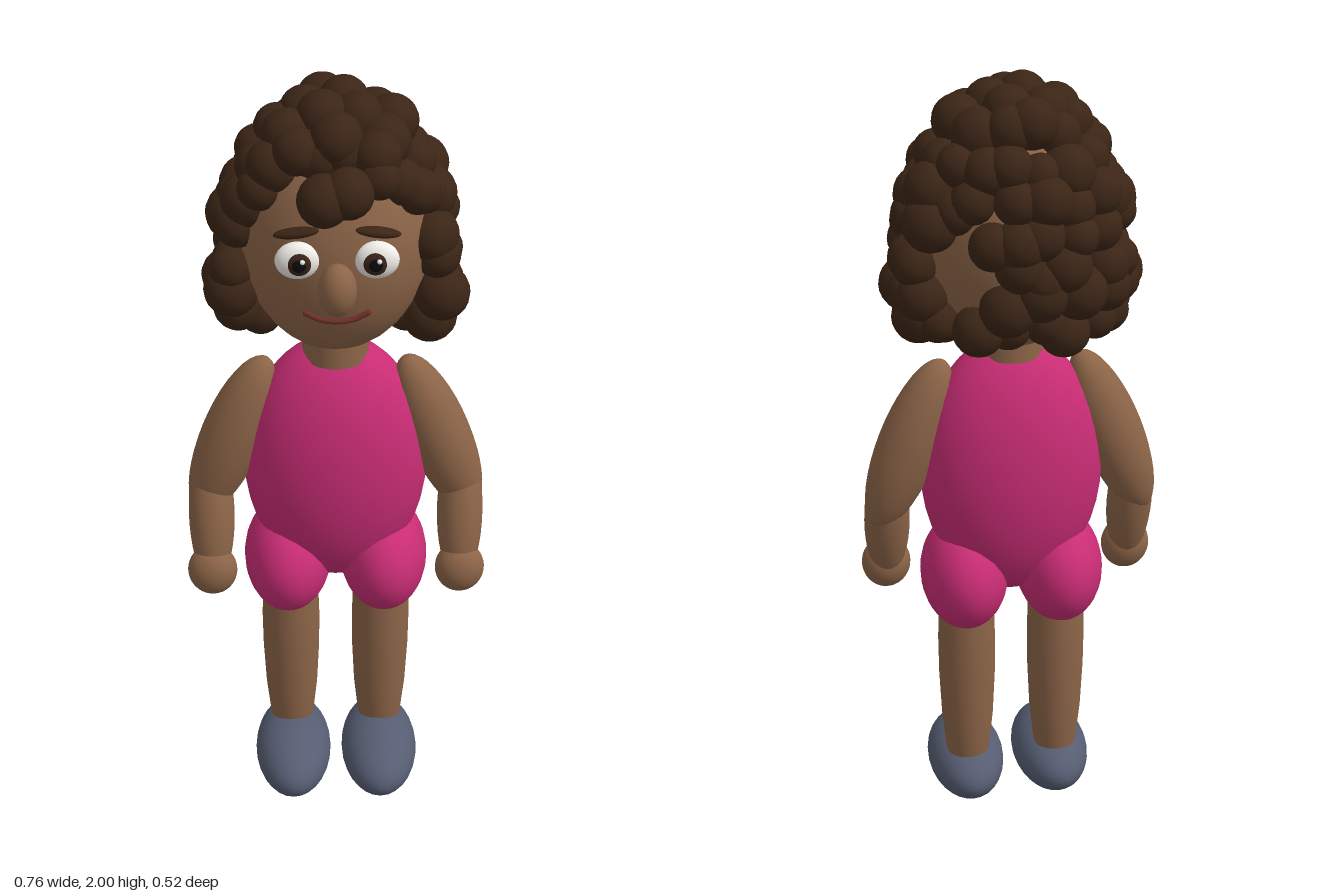
import * as THREE from 'three';

const mat = (color) => new THREE.MeshStandardMaterial({ color });
const MAT = {
  skin: mat(0x8d6548), hair: mat(0x3b2516), suit: mat(0xc92d75), shoe: mat(0x565d72),
  white: mat(0xf0eeea), iris: mat(0x3a2418), pupil: mat(0x0c0a0a), lip: mat(0x6e2e28),
};
const ball = new THREE.SphereGeometry(1, 28, 20);
const curlBall = new THREE.SphereGeometry(1, 18, 12);
const HEAD = { y: 1.628, rx: 0.226, ry: 0.297, rz: 0.202 };

// depth of the face surface at a given x, y
const faceZ = (x, y) =>
  HEAD.rz * Math.sqrt(Math.max(0, 1 - (x / HEAD.rx) ** 2 - ((y - HEAD.y) / HEAD.ry) ** 2));

export function createModel() {
  const model = new THREE.Group();
  model.name = 'curlyHairedFigure';

  const add = (name, geometry, material, parent = model) => {
    const m = new THREE.Mesh(geometry, material);
    m.name = name;
    parent.add(m);
    return m;
  };
  const blob = (name, material, pos, radii, parent = model, geometry = ball) => {
    const m = add(name, geometry, material, parent);
    m.position.set(...pos);
    m.scale.set(...radii);
    return m;
  };
  // ellipsoid stretched between two end points
  const limb = (name, material, a, b, rx, rz) => {
    const p = new THREE.Vector3(...a), q = new THREE.Vector3(...b);
    const d = p.clone().sub(q);
    const m = blob(name, material, p.clone().add(q).multiplyScalar(0.5).toArray(), [rx, d.length() / 2, rz]);
    m.quaternion.setFromUnitVectors(new THREE.Vector3(0, 1, 0), d.normalize());
  };

  // body
  blob('torso', MAT.suit, [0, 0.998, 0.008], [0.231, 0.35, 0.152]);
  add('neck', new THREE.CylinderGeometry(0.078, 0.082, 0.14, 24), MAT.skin).position.set(0, 1.375, 0.01);

  const legProfile = [[0.045, 0.1], [0.058, 0.17], [0.068, 0.27], [0.074, 0.4], [0.075, 0.5], [0.071, 0.64]]
    .map(([x, y]) => new THREE.Vector2(x, y));
  const legGeometry = new THREE.LatheGeometry(legProfile, 24);

  for (const [side, s] of [['left', 1], ['right', -1]]) {
    // legs
    blob(side + 'ShortsLeg', MAT.suit, [s * 0.123, 0.7, 0.008], [0.112, 0.148, 0.159]);
    add(side + 'Leg', legGeometry, MAT.skin).position.set(s * 0.118, 0, 0.01);
    blob(side + 'Shoe', MAT.shoe, [s * 0.116, 0.092, 0.075], [0.101, 0.088, 0.181]);

    // arms
    limb(side + 'UpperArm', MAT.skin, [s * 0.17, 1.293, 0.01], [s * 0.345, 0.84, 0.015], 0.079, 0.073);
    limb(side + 'Forearm', MAT.skin, [s * 0.315, 1.04, -0.005], [s * 0.315, 0.66, 0.085], 0.058, 0.056);
    blob(side + 'Hand', MAT.skin, [s * 0.316, 0.704, 0.083], [0.063, 0.07, 0.05]);

    // eyes and brows
    blob(side + 'Eye', MAT.white, [s * 0.09, 1.657, 0.188], [0.052, 0.046, 0.028]);
    blob(side + 'Iris', MAT.iris, [s * 0.087, 1.657, 0.205], [0.03, 0.03, 0.015]);
    blob(side + 'Pupil', MAT.pupil, [s * 0.087, 1.657, 0.213], [0.018, 0.018, 0.01]);
    blob(side + 'EyeGlint', MAT.white, [s * 0.087 + 0.008, 1.668, 0.219], [0.006, 0.006, 0.005]);
    blob(side + 'Brow', MAT.hair, [s * 0.093, 1.727, 0.188], [0.054, 0.012, 0.018])
      .rotation.set(0, s * 0.2, -s * 0.2);
  }

  // head
  blob('head', MAT.skin, [0, HEAD.y, 0], [HEAD.rx, HEAD.ry, HEAD.rz]);
  blob('nose', MAT.skin, [0, 1.592, 0.212], [0.045, 0.065, 0.045]);
  const lipLine = new THREE.CatmullRomCurve3(
    [[-0.072, 1.515], [-0.04, 1.5], [0, 1.495], [0.04, 1.5], [0.072, 1.515]]
      .map(([x, y]) => new THREE.Vector3(x, y, faceZ(x, y) + 0.006)));
  add('mouth', new THREE.TubeGeometry(lipLine, 16, 0.007, 8), MAT.lip);
  for (const end of [0, 1]) {
    blob('mouthCorner', MAT.lip, lipLine.getPoint(end).toArray(), [0.007, 0.007, 0.007], model, curlBall);
  }

  // hair: rings of curls around the head, open at the face
  const hair = new THREE.Group();
  hair.name = 'hair';
  model.add(hair);
  let seed = 7;
  const rnd = () => (seed = (seed * 16807) % 2147483647) / 2147483647;
  const curl = (x, y, z, r) => blob('curl', MAT.hair, [x, y, z], [r, r, r], hair, curlBall);

  // [y, rx, rz, first angle from front, last angle, curls per side]
  const rings = [
    [1.895, 0.13, 0.11, 14, 168, 5],
    [1.825, 0.182, 0.155, 48, 172, 6],
    [1.745, 0.215, 0.178, 68, 172, 6],
    [1.665, 0.24, 0.19, 72, 172, 6],
    [1.585, 0.252, 0.19, 70, 172, 6],
    [1.505, 0.254, 0.175, 70, 172, 6],
    [1.42, 0.237, 0.14, 82, 150, 4],
  ];
  rings.forEach(([y, rx, rz, from, to, n], row) => {
    for (const s of [1, -1]) {
      for (let i = 0; i < n; i++) {
        const step = (to - from) / (n - 1);
        const shift = row % 2 && i > 0 && i < n - 1 ? step * 0.25 * s : 0;
        const deg = from + step * i + shift + (rnd() - 0.5) * 12;
        const a = THREE.MathUtils.degToRad(deg);
        const out = 0.96 + rnd() * 0.07;
        const x = s * rx * out * Math.sin(a), z = rz * out * Math.cos(a) - 0.01;
        const cy = y + (rnd() - 0.5) * 0.05, r = 0.05 + rnd() * 0.02;
        // bare parting at the back left
        if (s > 0 && y > 1.49 && y < 1.7 && deg > 132 && deg < 160) continue;
        curl(x, cy, z, r);
      }
    }
  });
  // crown, fringe, temples, inner side locks and nape
  [[-0.03, 1.938, 0.03, 0.062], [0.05, 1.93, 0.02, 0.06], [0.02, 1.935, -0.06, 0.06], [-0.07, 1.92, -0.04, 0.06],
    [0, 1.915, 0.1, 0.062], [-0.09, 1.89, 0.11, 0.055], [0.09, 1.88, 0.115, 0.058],
    [-0.03, 1.805, 0.185, 0.062], [0.025, 1.82, 0.18, 0.06], [0.095, 1.84, 0.145, 0.05],
    [-0.175, 1.79, 0.09, 0.052], [0.185, 1.78, 0.09, 0.055],
    [-0.18, 1.41, -0.01, 0.055], [0.17, 1.41, -0.02, 0.055],
    [0.03, 1.43, -0.13, 0.058], [-0.06, 1.44, -0.14, 0.058]].forEach((c) => curl(...c));

  return model;
}
